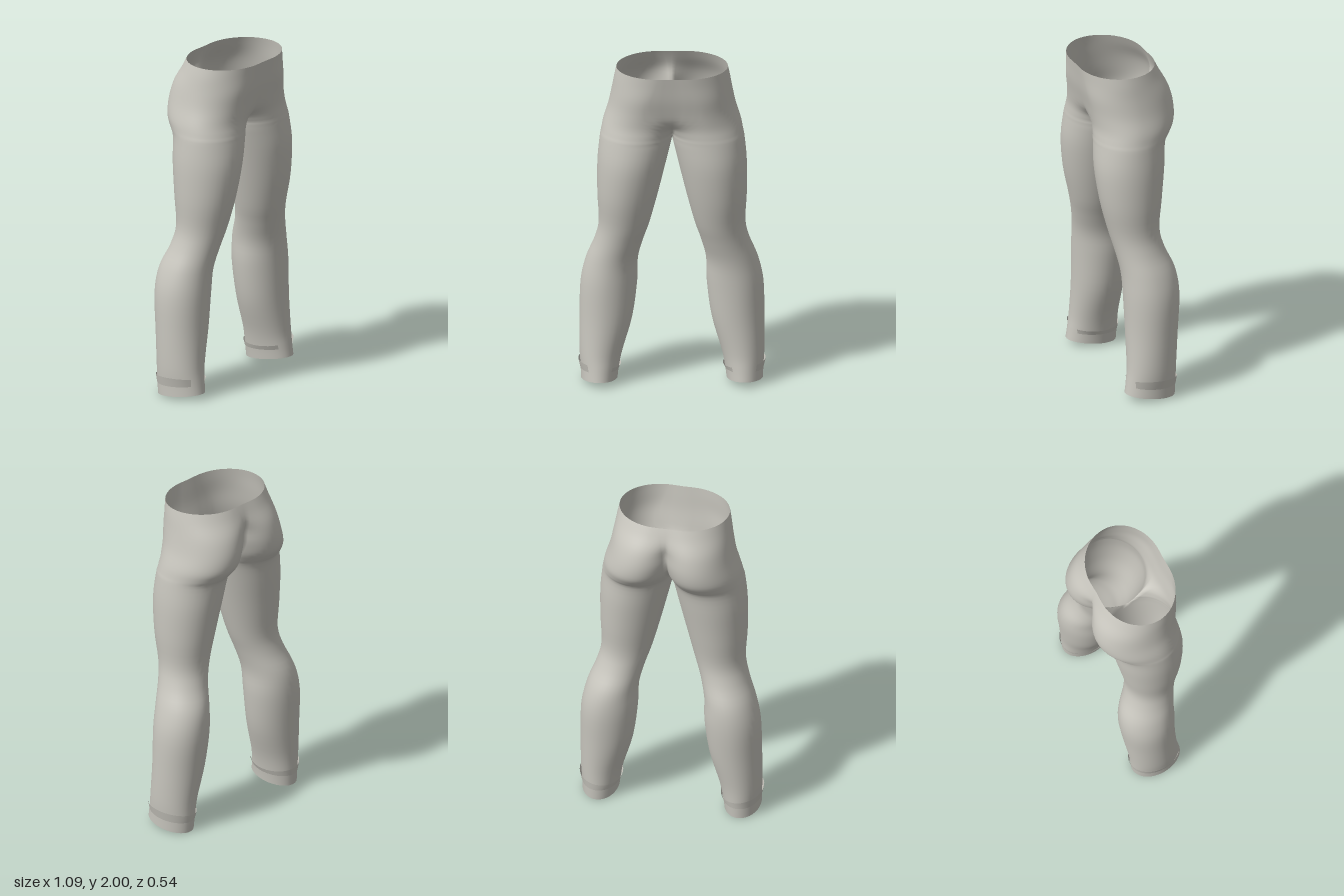
import * as THREE from 'three';
import { mergeVertices } from 'three/addons/utils/BufferGeometryUtils.js';

// Cross-sections of the left half, from waist to hem:
// [y, outer x, centre x, inner x at front, inner x at back, front z, back z, middle z]
// A negative inner x means the section is cut open at the centre line (pelvis).
const SECTIONS = [
  [2.0, 0.325, 0.07, -0.45, -0.45, 0.267, -0.18, 0.05],
  [1.94, 0.337, 0.09, -0.45, -0.25, 0.26, -0.207, 0.04],
  [1.85, 0.352, 0.13, -0.45, -0.09, 0.25, -0.25, 0.02],
  [1.75, 0.372, 0.155, -0.35, -0.055, 0.232, -0.27, 0.01],
  [1.66, 0.4, 0.175, -0.075, -0.03, 0.222, -0.262, 0.015],
  [1.6, 0.413, 0.195, -0.012, -0.012, 0.225, -0.225, 0.025],
  [1.55, 0.422, 0.21, 0, 0, 0.23, -0.192, 0.03],
  [1.4, 0.435, 0.24, 0.035, 0.035, 0.238, -0.175, 0.03],
  [1.2, 0.435, 0.265, 0.083, 0.083, 0.215, -0.15, 0.03],
  [1.02, 0.427, 0.28, 0.13, 0.13, 0.174, -0.13, 0.02],
  [0.9, 0.452, 0.31, 0.168, 0.168, 0.145, -0.152, 0],
  [0.77, 0.5, 0.35, 0.198, 0.198, 0.122, -0.202, -0.03],
  [0.62, 0.532, 0.375, 0.202, 0.202, 0.115, -0.215, -0.045],
  [0.4, 0.538, 0.39, 0.23, 0.23, 0.11, -0.198, -0.04],
  [0.2, 0.538, 0.415, 0.286, 0.286, 0.115, -0.18, -0.03],
  [0.1, 0.532, 0.42, 0.307, 0.307, 0.125, -0.175, -0.025],
  [0.024, 0.53, 0.422, 0.317, 0.317, 0.135, -0.17, -0.02],
];

// Smooth interpolation between the sections
function sectionAt(t) {
  const i = Math.min(Math.floor(t), SECTIONS.length - 2);
  const f = t - i;
  const at = (k) => SECTIONS[THREE.MathUtils.clamp(k, 0, SECTIONS.length - 1)];
  return SECTIONS[i].map((b, c) => {
    const a = at(i - 1)[c], d = at(i + 1)[c], e = at(i + 2)[c];
    const m0 = (d - a) / 2, m1 = (e - b) / 2;
    return b + m0 * f + (3 * (d - b) - 2 * m0 - m1) * f * f + (2 * (b - d) + m0 + m1) * f ** 3;
  });
}

// Point on a section; angle 0 is the outer side, +90 degrees the front
function pointOn([y, xOut, cx, inF, inB, zF, zB, zM], angle) {
  const c = Math.cos(angle), s = Math.sin(angle);
  const inner = cx - (s >= 0 ? inF : inB);
  const x = cx + c * (c >= 0 ? xOut - cx : inner);
  const z = zM + s * (s >= 0 ? zF - zM : zM - zB);
  // The hem dips towards the back
  return [x, y + 0.14 * z * Math.max(0, 1 - y / 0.2), z];
}

// Angle at which a section meets the centre line
const cutAngle = (cx, inner) => (inner >= 0 ? Math.PI : Math.acos(-cx / (cx - inner)));

// Skin a grid of points, with its mirror image, into one smooth surface
function mirroredSkin(rows) {
  const positions = [], index = [];
  const n = rows[0].length;
  for (const side of [1, -1]) {
    const base = positions.length / 3;
    for (const row of rows) {
      for (const [x, y, z] of row) positions.push(Math.abs(x) < 1e-5 ? 0 : side * x, y, z);
    }
    for (let j = 0; j < rows.length - 1; j++) {
      for (let i = 0; i < n - 1; i++) {
        const a = base + j * n + i, b = a + 1, c = a + n, d = c + 1;
        if (side > 0) index.push(a, c, b, b, c, d);
        else index.push(a, b, c, b, d, c);
      }
    }
  }
  let geometry = new THREE.BufferGeometry();
  geometry.setAttribute('position', new THREE.Float32BufferAttribute(positions, 3));
  geometry.setIndex(index);
  geometry = mergeVertices(geometry, 1e-5);
  geometry.computeVertexNormals();
  return geometry;
}

export function createModel() {
  const model = new THREE.Group();
  model.name = 'trousers';
  const fabric = new THREE.MeshStandardMaterial({ color: 0xc8c6be, side: THREE.DoubleSide });
  fabric.name = 'pale grey fabric';

  const add = (name, rows) => {
    const mesh = new THREE.Mesh(mirroredSkin(rows), fabric);
    mesh.name = name;
    model.add(mesh);
  };

  // Seat and both legs as one open shell
  const around = 36, steps = 4;
  const shell = [];
  for (let j = 0; j <= (SECTIONS.length - 1) * steps; j++) {
    const s = sectionAt(j / steps);
    if (j <= 6 * steps) {
      s[3] = Math.min(s[3], 0);
      s[4] = Math.min(s[4], 0);
    }
    const front = cutAngle(s[2], s[3]), back = -cutAngle(s[2], s[4]);
    const row = [];
    for (let i = 0; i <= around; i++) {
      row.push(pointOn(s, THREE.MathUtils.lerp(front, back, i / around)));
    }
    shell.push(row);
  }
  add('seatAndLegs', shell);

  // Loose turned-up cuffs, open at the front and higher on the outer side
  const cuffSections = [
    [0.125, 0.546, 0.42, 0.296, 0.296, 0.132, -0.183, -0.025],
    [0.085, 0.533, 0.42, 0.307, 0.307, 0.126, -0.176, -0.025],
  ];
  const cuff = cuffSections.map((s, j) => {
    const row = [];
    for (let i = 0; i <= 24; i++) {
      const angle = THREE.MathUtils.lerp(0.95, 2.2 - 2 * Math.PI, i / 24);
      const [x, y, z] = pointOn(s, angle);
      row.push([x, y + (j ? 0 : 0.015 * Math.cos(angle)), z]);
    }
    return row;
  });
  add('ankleCuffs', cuff);

  return model;
}
